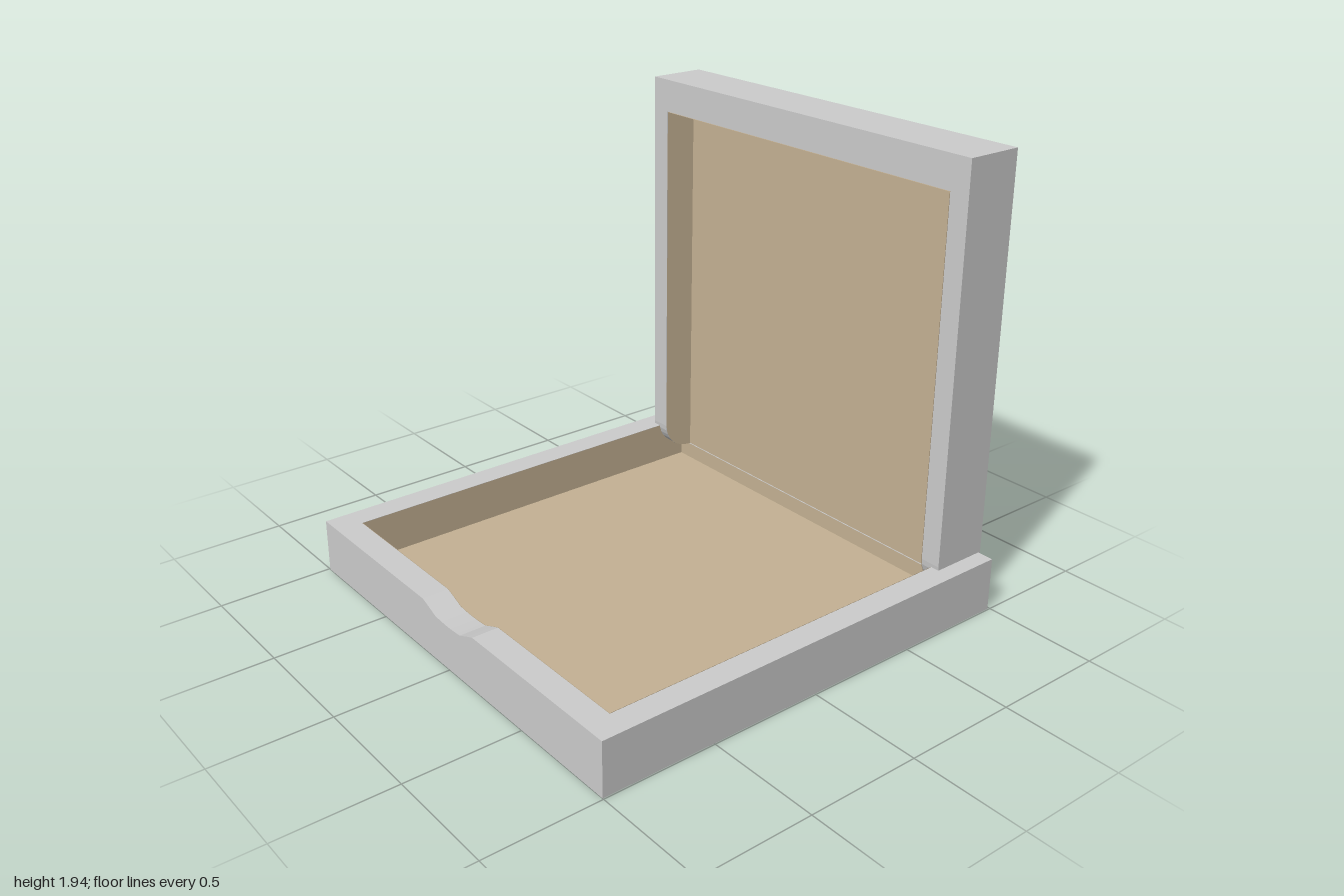
import * as THREE from 'three';

const grey = new THREE.MeshStandardMaterial({ color: 0xcccccc });
const lining = new THREE.MeshStandardMaterial({ color: 0xc4b193, side: THREE.DoubleSide });

// Main sizes
const W = 0.995, IN = 0.885, RIM = 0.235, FLOOR = 0.05;
const LID = 0.922, LID_IN = 0.832, LID_TOP = 1.94, LID_FRONT = -0.745, LID_BACK = -1;
const HINGE = 0.125, PLATE = -0.885, E = 0.002;

function add(parent, name, geometry, material = grey) {
  const mesh = new THREE.Mesh(geometry, material);
  mesh.name = name;
  parent.add(mesh);
  return mesh;
}

// Box given by its min and max corners
function box(parent, name, [x0, y0, z0], [x1, y1, z1], material) {
  const mesh = add(parent, name, new THREE.BoxGeometry(x1 - x0, y1 - y0, z1 - z0), material);
  mesh.position.set((x0 + x1) / 2, (y0 + y1) / 2, (z0 + z1) / 2);
  return mesh;
}

// Flat convex panel through a loop of 3D points
function panel(parent, name, points) {
  const geometry = new THREE.BufferGeometry();
  geometry.setAttribute('position', new THREE.Float32BufferAttribute(points.flat(), 3));
  const index = [];
  for (let i = 1; i < points.length - 1; i++) index.push(0, i, i + 1);
  geometry.setIndex(index);
  const flat = geometry.toNonIndexed();
  flat.computeVertexNormals();
  return add(parent, name, flat, lining);
}

// Front wall outline with the finger notch in its top edge
function frontShape(halfWidth, bottom) {
  const s = new THREE.Shape();
  s.moveTo(-halfWidth, bottom);
  s.lineTo(halfWidth, bottom);
  s.lineTo(halfWidth, RIM);
  s.lineTo(0.18, RIM);
  s.lineTo(0.145, 0.222);
  s.lineTo(0.09, 0.2);
  s.quadraticCurveTo(0, 0.19, -0.09, 0.2);
  s.lineTo(-0.145, 0.222);
  s.lineTo(-0.18, RIM);
  s.lineTo(-halfWidth, RIM);
  return s;
}

// Rounded hinge corner of the lid as [z, y] points, from back to front
function hingeArc() {
  const points = [];
  for (let i = 0; i <= 8; i++) {
    const a = -Math.PI / 2 + (i / 8) * Math.PI / 2;
    points.push([-0.87 + 0.125 * Math.cos(a), 0.25 + 0.125 * Math.sin(a)]);
  }
  return points;
}

function makeBase() {
  const base = new THREE.Group();
  base.name = 'base';
  box(base, 'baseFloor', [-W, 0, -0.99], [W, FLOOR - E, 0.9]);
  box(base, 'baseBackWall', [-IN, 0.02, -0.99], [IN, 0.122, -IN]);
  const front = new THREE.ExtrudeGeometry(frontShape(W, 0), { depth: 1 - IN, bevelEnabled: false, curveSegments: 8 });
  add(base, 'baseFrontWall', front).position.z = IN;
  for (const s of [1, -1]) {
    const side = s > 0 ? 'Left' : 'Right';
    box(base, `base${side}Wall`, [s > 0 ? IN : -W, 0, -0.99], [s > 0 ? W : -IN, RIM, IN]);
    const x = s * (IN - E);
    panel(base, `base${side}Lining`, [[x, FLOOR, IN], [x, FLOOR, -IN], [x, RIM, -IN], [x, RIM, IN]]);
  }
  // Coloured inside faces
  panel(base, 'floorLining', [[-IN, FLOOR, IN], [IN, FLOOR, IN], [IN, FLOOR, -IN], [-IN, FLOOR, -IN]]);
  const z = -IN + E;
  panel(base, 'baseBackLining', [[-IN, FLOOR, z], [IN, FLOOR, z], [IN, 0.122, z], [-IN, 0.122, z]]);
  add(base, 'baseFrontLining', new THREE.ShapeGeometry(frontShape(IN, FLOOR), 8), lining).position.z = IN - E;
  return base;
}

function makeLid() {
  const lid = new THREE.Group();
  lid.name = 'lid';
  const top = 1.797, innerTop = 1.78, innerX = 0.818;
  box(lid, 'lidPlate', [-LID_IN, HINGE, LID_BACK], [LID_IN, top, PLATE - E]);
  box(lid, 'lidTopWall', [-LID_IN, top, LID_BACK], [LID_IN, LID_TOP, LID_FRONT]);

  // Side wall profile, drawn in z and y, then turned to run along x
  const shape = new THREE.Shape();
  shape.moveTo(-LID_BACK, HINGE);
  for (const [z, y] of hingeArc()) shape.lineTo(-z, y);
  shape.lineTo(-LID_FRONT, LID_TOP);
  shape.lineTo(-LID_BACK, LID_TOP);
  const wall = new THREE.ExtrudeGeometry(shape, { depth: LID - LID_IN, bevelEnabled: false });
  wall.rotateY(Math.PI / 2);

  for (const s of [1, -1]) {
    const side = s > 0 ? 'Left' : 'Right';
    add(lid, `lid${side}Wall`, wall).position.x = s > 0 ? LID_IN : -LID;
    // Slightly drafted inside face
    const draft = (z) => s * THREE.MathUtils.mapLinear(z, PLATE, LID_FRONT, innerX, LID_IN - E);
    const loop = [[PLATE, HINGE], ...hingeArc(), [LID_FRONT, top], [PLATE, innerTop]];
    panel(lid, `lid${side}Lining`, loop.map(([z, y]) => [draft(z), y, z]));
  }
  panel(lid, 'lidTopLining', [
    [-LID_IN, top - E, LID_FRONT], [LID_IN, top - E, LID_FRONT],
    [innerX, innerTop, PLATE], [-innerX, innerTop, PLATE],
  ]);
  panel(lid, 'lidPlateLining', [
    [-innerX, HINGE, PLATE], [innerX, HINGE, PLATE], [innerX, innerTop, PLATE], [-innerX, innerTop, PLATE],
  ]);
  return lid;
}

export function createModel() {
  const model = new THREE.Group();
  model.name = 'openBox';
  model.add(makeBase(), makeLid());
  return model;
}
